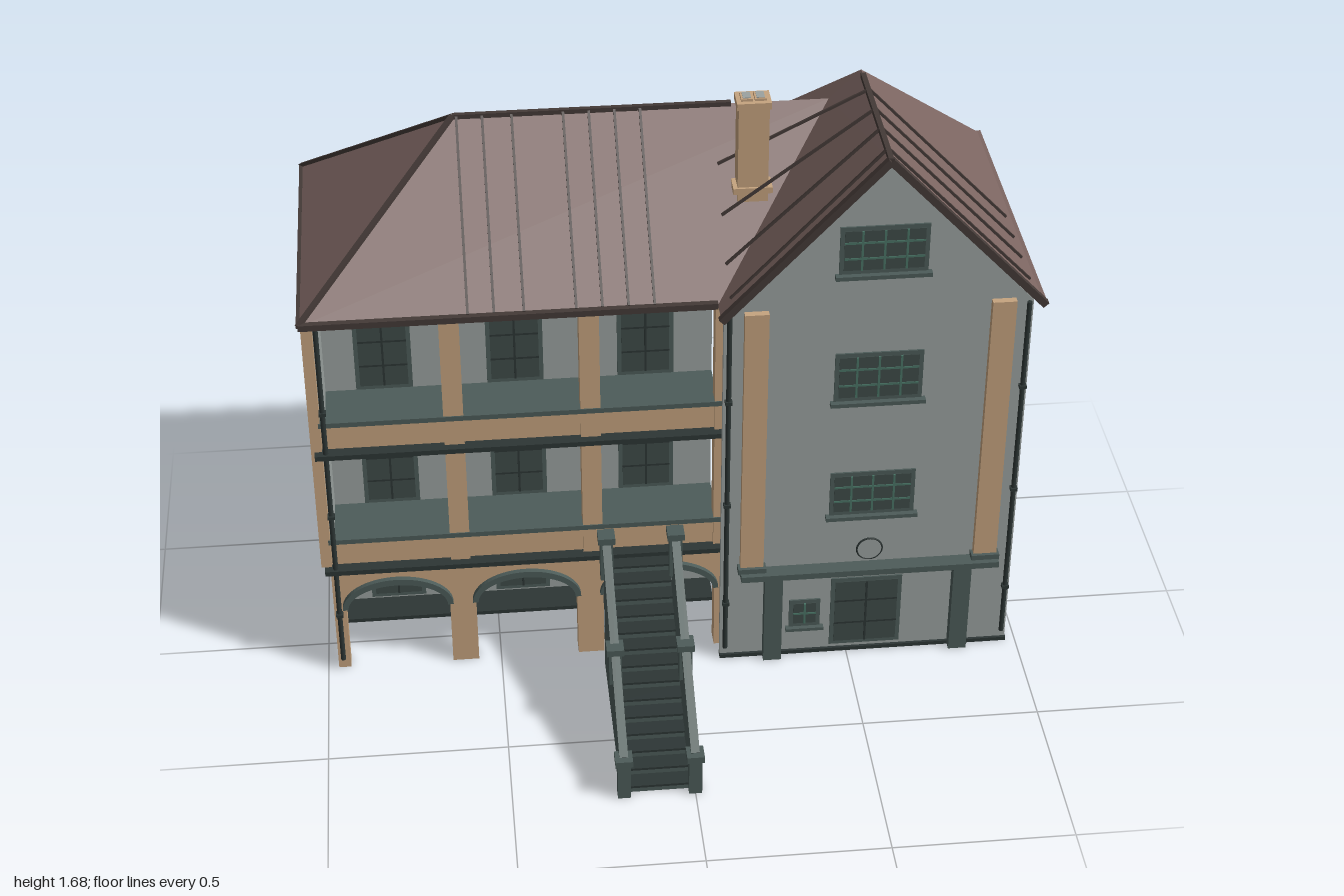
import * as THREE from 'three';

const mat = (name, color, double) => {
  const m = new THREE.MeshStandardMaterial({ color });
  m.name = name;
  if (double) m.side = THREE.DoubleSide;
  return m;
};

export function createModel() {
  const wall = mat('greyPlaster', 0x9ba2a0);
  const stone = mat('sandstone', 0xc6a47f);
  const green = mat('greenTrim', 0x4d5c59);
  const dark = mat('darkTrim', 0x2d3635);
  const glass = mat('darkGlass', 0x3f4b48);
  const bars = mat('glazingBars', 0x4a7466);
  const tin = mat('brownRoof', 0x7d6662, true);
  const seam = mat('roofSeam', 0x443a37);

  const root = new THREE.Group();
  root.name = 'house';
  const group = (name) => {
    const g = new THREE.Group();
    g.name = name;
    root.add(g);
    return g;
  };
  const add = (parent, name, geo, m) => {
    const mesh = new THREE.Mesh(geo, m);
    mesh.name = name;
    parent.add(mesh);
    return mesh;
  };
  // Box given by its extents on each axis
  const box = (parent, name, m, x0, x1, y0, y1, z0, z1) => {
    const b = add(parent, name, new THREE.BoxGeometry(x1 - x0, y1 - y0, z1 - z0), m);
    b.position.set((x0 + x1) / 2, (y0 + y1) / 2, (z0 + z1) / 2);
    return b;
  };
  // Straight bar between two points
  const beam = (parent, name, m, a, b, t) => {
    const p = new THREE.Vector3(...a), q = new THREE.Vector3(...b);
    const o = add(parent, name, new THREE.BoxGeometry(t, t, p.distanceTo(q)), m);
    o.position.copy(p).add(q).multiplyScalar(0.5);
    o.lookAt(q);
    return o;
  };
  const extrude = (shape, depth) =>
    new THREE.ExtrudeGeometry(shape, { depth, bevelEnabled: false, curveSegments: 16 });
  // Framed opening that shows on both faces of its wall
  const opening = (name, x0, x1, y0, y1, z, cols, rows, barMat) => {
    const g = group(name), f = 0.012;
    box(g, 'frame', green, x0, x1, y0, y1, z - 0.012, z + 0.012);
    box(g, 'pane', glass, x0 + f, x1 - f, y0 + f, y1 - f, z - 0.014, z + 0.014);
    for (let i = 1; i < cols; i++) {
      const x = x0 + ((x1 - x0) * i) / cols;
      box(g, 'upright', barMat, x - 0.003, x + 0.003, y0 + f, y1 - f, z - 0.017, z + 0.017);
    }
    for (let i = 1; i < rows; i++) {
      const y = y0 + ((y1 - y0) * i) / rows;
      box(g, 'crossbar', barMat, x0 + f, x1 - f, y - 0.003, y + 0.003, z - 0.016, z + 0.016);
    }
    return g;
  };

  // Long block: back wall, end wall, doors on three floors
  const main = group('mainBlock');
  box(main, 'backWall', wall, -0.97, 0.14, 0, 1.18, -0.2, -0.185);
  box(main, 'endWall', wall, -0.97, -0.957, 0, 1.18, -0.185, 0.08);
  for (const y of [0.02, 0.37, 0.77])
    for (const x of [-0.79, -0.42, -0.05])
      opening('verandahDoor', x - 0.08, x + 0.08, y, y + 0.24, -0.192, 2, 3, dark);
  box(main, 'groundFloor', dark, -0.957, 0.14, 0, 0.012, -0.185, -0.09);

  // Verandah arcade
  const ver = group('verandah');
  const bays = [[-0.935, -0.64], [-0.565, -0.275], [-0.2, 0.12]];
  const arcade = new THREE.Shape();
  arcade.moveTo(-0.97, 0);
  for (const [l, r] of bays) {
    arcade.lineTo(l, 0);
    arcade.lineTo(l, 0.22);
    arcade.absellipse((l + r) / 2, 0.22, (r - l) / 2, 0.085, Math.PI, 0, true);
    arcade.lineTo(r, 0);
    // Arch moulding
    const band = new THREE.Shape();
    const c = (l + r) / 2, w = (r - l) / 2;
    band.absellipse(c, 0.22, w + 0.01, 0.1, 0, Math.PI, false);
    band.lineTo(l, 0.22);
    band.absellipse(c, 0.22, w - 0.006, 0.08, Math.PI, 0, true);
    band.closePath();
    add(ver, 'archMoulding', extrude(band, 0.035), green).position.z = 0.09;
  }
  arcade.lineTo(0.14, 0);
  arcade.lineTo(0.14, 0.355);
  arcade.lineTo(-0.97, 0.355);
  add(ver, 'arcade', extrude(arcade, 0.05), stone).position.z = 0.06;
  // Upper floors, parapets and rails
  for (const y of [0.355, 0.755]) {
    box(ver, 'floor', green, -0.957, 0.14, y, y + 0.012, -0.185, 0.1);
    box(ver, 'floorMoulding', dark, -0.985, 0.145, y, y + 0.015, 0.07, 0.135);
    box(ver, 'parapet', stone, -0.97, 0.14, y + 0.012, y + 0.095, 0.08, 0.1);
    box(ver, 'rail', green, -0.97, 0.14, y + 0.095, y + 0.11, 0.07, 0.115);
  }
  for (const [a, b] of [[-0.995, -0.965], [-0.63, -0.575], [-0.255, -0.2], [0.115, 0.14]])
    box(ver, 'post', stone, a, b, 0.37, 1.175, 0.062, 0.112);

  // Gabled wing
  const wing = group('wing');
  const gable = new THREE.Shape();
  gable.moveTo(0.13, 0);
  gable.lineTo(0.97, 0);
  gable.lineTo(0.97, 1.18);
  gable.lineTo(0.555, 1.63);
  gable.lineTo(0.13, 1.18);
  add(wing, 'gableWall', extrude(gable, 0.015), wall).position.z = 0.155;
  box(wing, 'sideWall', wall, 0.957, 0.97, 0, 1.18, -0.2, 0.155);
  box(wing, 'plinth', dark, 0.13, 0.972, 0, 0.012, 0.157, 0.178);
  for (const [x0, x1, y0, y1] of [[0.435, 0.675, 1.295, 1.44], [0.435, 0.678, 0.885, 1.04], [0.435, 0.675, 0.495, 0.64]]) {
    const w = opening('wingWindow', x0, x1, y0, y1, 0.163, 4, 3, bars);
    box(w, 'sill', green, x0 - 0.01, x1 + 0.01, y0 - 0.012, y0, 0.165, 0.19);
  }
  const small = opening('smallWindow', 0.33, 0.42, 0.1, 0.195, 0.163, 2, 2, bars);
  box(small, 'sill', green, 0.32, 0.43, 0.09, 0.1, 0.165, 0.188);
  opening('frontDoor', 0.45, 0.655, 0.025, 0.265, 0.163, 2, 3, dark);
  for (const s of [-1, 1]) {
    const px = 0.5525 + s * 0.335, bx = 0.5525 + s * 0.272;
    box(wing, 'pilaster', stone, px - 0.033, px + 0.033, 0.33, 1.19, 0.165, 0.19);
    box(wing, 'pilasterBase', green, px - 0.04, px + 0.04, 0.32, 0.338, 0.165, 0.2);
    box(wing, 'lowerPost', green, bx - 0.026, bx + 0.026, 0, 0.31, 0.165, 0.2);
  }
  box(wing, 'ledge', green, 0.185, 0.925, 0.303, 0.322, 0.165, 0.215);
  // Plain round plaque
  const plaque = add(wing, 'plaque', new THREE.CylinderGeometry(0.035, 0.035, 0.008, 24), wall);
  plaque.rotation.x = Math.PI / 2;
  plaque.position.set(0.555, 0.37, 0.174);
  add(wing, 'plaqueRim', new THREE.TorusGeometry(0.036, 0.003, 6, 24), dark).position.set(0.555, 0.37, 0.176);

  // Downpipes
  for (const [x, z] of [[-0.955, 0.122], [0.145, 0.178], [0.957, 0.178]]) {
    const pipe = add(root, 'downpipe', new THREE.CylinderGeometry(0.007, 0.007, 1.14, 8), dark);
    pipe.position.set(x, 0.61, z);
    for (const y of [0.2, 0.55, 0.9]) box(root, 'pipeClip', dark, x - 0.01, x + 0.01, y, y + 0.01, z - 0.01, z + 0.01);
  }

  // Roof planes, trimmed where the two roofs meet
  const roof = group('roof');
  const plane = (name, ...p) => {
    const v = [];
    for (let i = 1; i < p.length - 1; i++) v.push(...p[0], ...p[i], ...p[i + 1]);
    const g = new THREE.BufferGeometry();
    g.setAttribute('position', new THREE.Float32BufferAttribute(v, 3));
    g.computeVertexNormals();
    add(roof, name, g, tin);
  };
  const E = 1.185;
  const FL = [-1, E, 0.12], BL = [-1, E, -0.74], R0 = [-0.56, 1.56, -0.31], M = [0.47, 1.56, -0.31];
  const VF = [0.12, E, 0.12], VB = [0.12, E, -0.74], WF = [0.12, E, 0.2];
  const A = [0.555, 1.65, 0.2], D = [0.555, 1.65, -0.3], EF = [0.995, E, 0.2], EB = [0.995, E, -0.74];
  plane('mainFrontSlope', FL, VF, M, R0);
  plane('mainBackSlope', VB, BL, R0, M);
  plane('mainHip', BL, FL, R0);
  plane('wingInnerSlope', M, VF, WF, A, D);
  plane('wingInnerSliver', VB, M, D);
  plane('wingOuterSlope', EF, EB, D, A);
  plane('wingBackHip', EB, VB, D);
  // Ridges, hips, barges and eaves
  for (const [a, b, t] of [
    [FL, R0, 0.014], [BL, R0, 0.014], [R0, [0.2, 1.56, -0.31], 0.014], [A, [0.555, 1.65, -0.27], 0.014],
    [WF, A, 0.02], [EF, A, 0.02], [FL, VF, 0.018], [FL, BL, 0.01]
  ]) beam(roof, 'roofEdge', seam, a, b, t);
  beam(roof, 'sideEave', tin, [0.992, E, 0.2], [0.992, E, -0.74], 0.014);
  beam(roof, 'backEave', tin, [-1, E, -0.735], [0.995, E, -0.735], 0.01);
  // Standing seams
  const mainY = (z) => E + (1.56 - E) * (0.12 - z) / 0.43;
  for (const x of [-0.55, -0.48, -0.4, -0.26, -0.19, -0.12, -0.05])
    beam(roof, 'mainSeam', seam, [x, E + 0.01, 0.115], [x, 1.56, -0.305], 0.007);
  for (const z of [0.145, 0.035, -0.07, -0.18]) {
    beam(roof, 'wingSeam', seam, [0.96, 1.232, z], [0.56, 1.652, z], 0.007);
    beam(roof, 'wingSeam', seam, [0.15, Math.max(1.22, mainY(z)), z], [0.55, 1.65, z], 0.007);
  }

  // Chimney
  const chim = group('chimney');
  box(chim, 'stack', stone, 0.195, 0.278, 1.36, 1.665, -0.158, -0.095);
  box(chim, 'collar', stone, 0.183, 0.29, 1.4, 1.418, -0.167, -0.088);
  box(chim, 'cap', stone, 0.19, 0.283, 1.655, 1.675, -0.162, -0.091);
  for (const x of [0.218, 0.255]) {
    box(chim, 'pot', stone, x - 0.016, x + 0.016, 1.675, 1.682, -0.148, -0.105);
    box(chim, 'flue', wall, x - 0.011, x + 0.011, 1.68, 1.684, -0.143, -0.11);
  }

  // Stairs: treads, pierced side walls, newels
  const stairs = group('stairs');
  const n = 14;
  for (let i = 0; i < n; i++) {
    const z1 = 0.715 - i * 0.042, y = (i + 1) * 0.0255;
    box(stairs, 'step', green, -0.18, -0.015, 0, y - 0.007, 0.11, z1);
    box(stairs, 'tread', dark, -0.18, -0.015, y - 0.007, y, z1 - 0.045, z1 + 0.006);
  }
  const side = new THREE.Shape([[0.72, 0], [0.72, 0.125], [0.17, 0.455], [0.17, 0], [0.72, 0]].map((p) => new THREE.Vector2(...p)));
  for (const [z, y] of [[0.64, 0.13], [0.545, 0.188], [0.375, 0.298], [0.275, 0.357]])
    side.holes.push(new THREE.Path([[-1, -1], [1, 1], [1, 1], [-1, -1]].map(([a], k) =>
      new THREE.Vector2(z + a * 0.015, y - a * 0.009 + (k < 2 ? -0.012 : 0.012)))));
  for (const x of [-0.195, 0.0]) {
    const panel = add(stairs, 'sideWall', extrude(side, 0.016), green);
    panel.rotation.y = -Math.PI / 2;
    panel.position.x = x + 0.008;
    beam(stairs, 'handrail', green, [x, 0.127, 0.72], [x, 0.457, 0.17], 0.024);
    for (const [z, y0, y1] of [[0.72, 0, 0.135], [0.455, 0.18, 0.305], [0.18, 0.33, 0.48]]) {
      box(stairs, 'newel', green, x - 0.018, x + 0.018, y0, y1 - 0.02, z - 0.018, z + 0.018);
      box(stairs, 'newelCap', green, x - 0.024, x + 0.024, y1 - 0.02, y1, z - 0.024, z + 0.024);
    }
  }
  return root;
}
